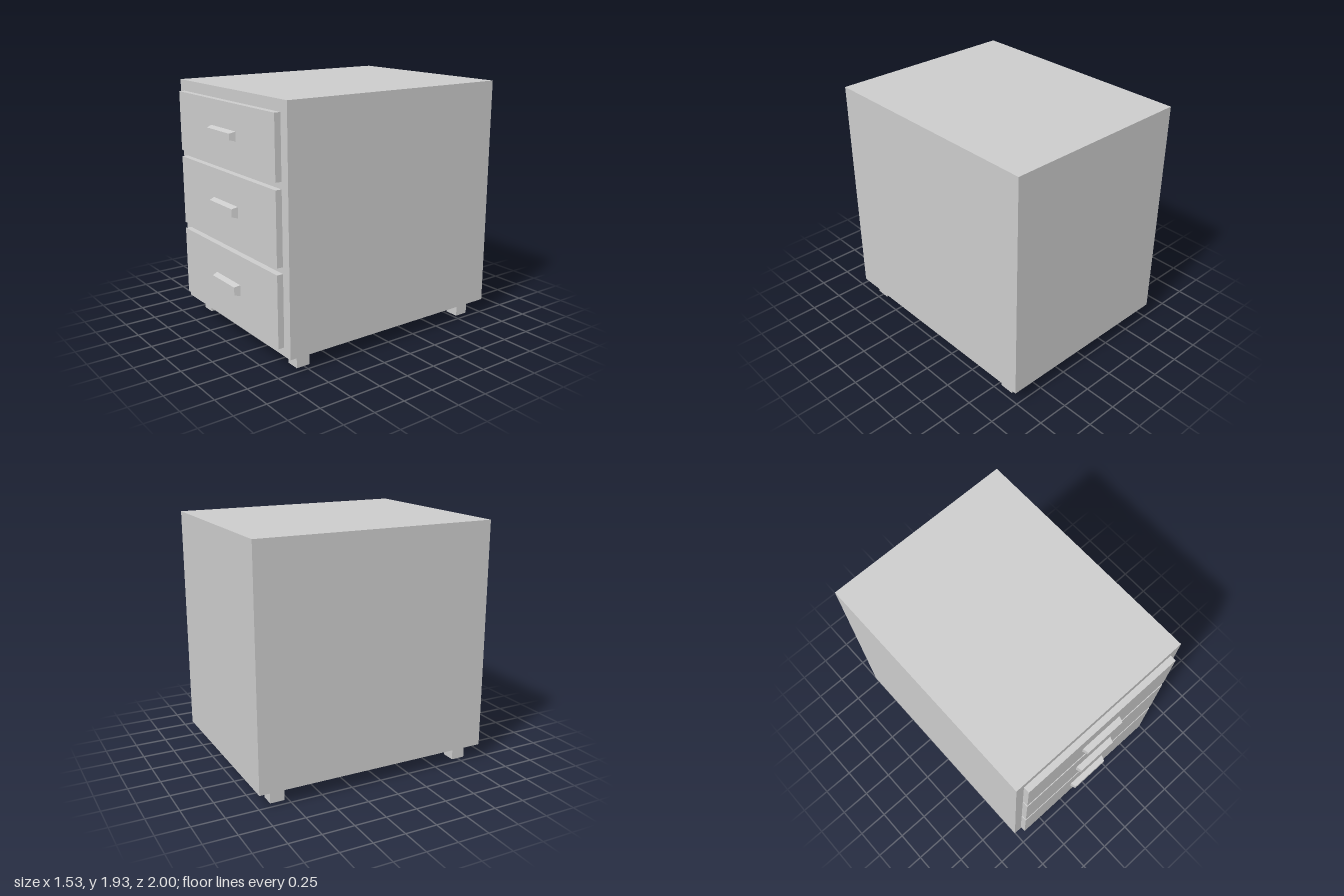
import * as THREE from 'three';

const material = new THREE.MeshStandardMaterial({ color: 0xcccccc, flatShading: true });

// Box given by its extents; inset = [x, y] narrows the front (+z) face on each side
function block(name, [x0, x1], [y0, y1], [z0, z1], inset = [0, 0]) {
  const w = x1 - x0, h = y1 - y0;
  const geometry = new THREE.BoxGeometry(w, h, z1 - z0);
  const p = geometry.attributes.position;
  for (let i = 0; i < p.count; i++) {
    if (p.getZ(i) > 0) {
      p.setX(i, p.getX(i) * (1 - 2 * inset[0] / w));
      p.setY(i, p.getY(i) * (1 - 2 * inset[1] / h));
    }
  }
  geometry.computeVertexNormals();
  const mesh = new THREE.Mesh(geometry, material);
  mesh.name = name;
  mesh.position.set((x0 + x1) / 2, (y0 + y1) / 2, (z0 + z1) / 2);
  return mesh;
}

export function createModel() {
  const model = new THREE.Group();
  model.name = 'drawerCabinet';

  // Cabinet body
  model.add(block('cabinetBody', [-0.765, 0.765], [0.117, 1.933], [-1, 0.907]));

  // Drawers, each a front panel with a tapered handle
  const drawers = [
    { name: 'topDrawer', panel: [1.382, 1.848], handle: [1.58, 1.652] },
    { name: 'middleDrawer', panel: [0.782, 1.33], handle: [1.016, 1.102] },
    { name: 'bottomDrawer', panel: [0.184, 0.732], handle: [0.415, 0.502] },
  ];
  for (const { name, panel, handle } of drawers) {
    const drawer = new THREE.Group();
    drawer.name = name;
    drawer.add(
      block('drawerFront', [-0.698, 0.686], panel, [0.907, 0.955]),
      block('handle', [-0.184, 0.173], handle, [0.955, 1], [0.014, 0.013]),
    );
    model.add(drawer);
  }

  // Four square feet
  for (const [side, x] of [['Right', [-0.698, -0.588]], ['Left', [0.588, 0.698]]]) {
    model.add(
      block(`front${side}Foot`, x, [0, 0.117], [0.699, 0.811]),
      block(`back${side}Foot`, x, [0, 0.117], [-0.892, -0.78]),
    );
  }
  return model;
}
